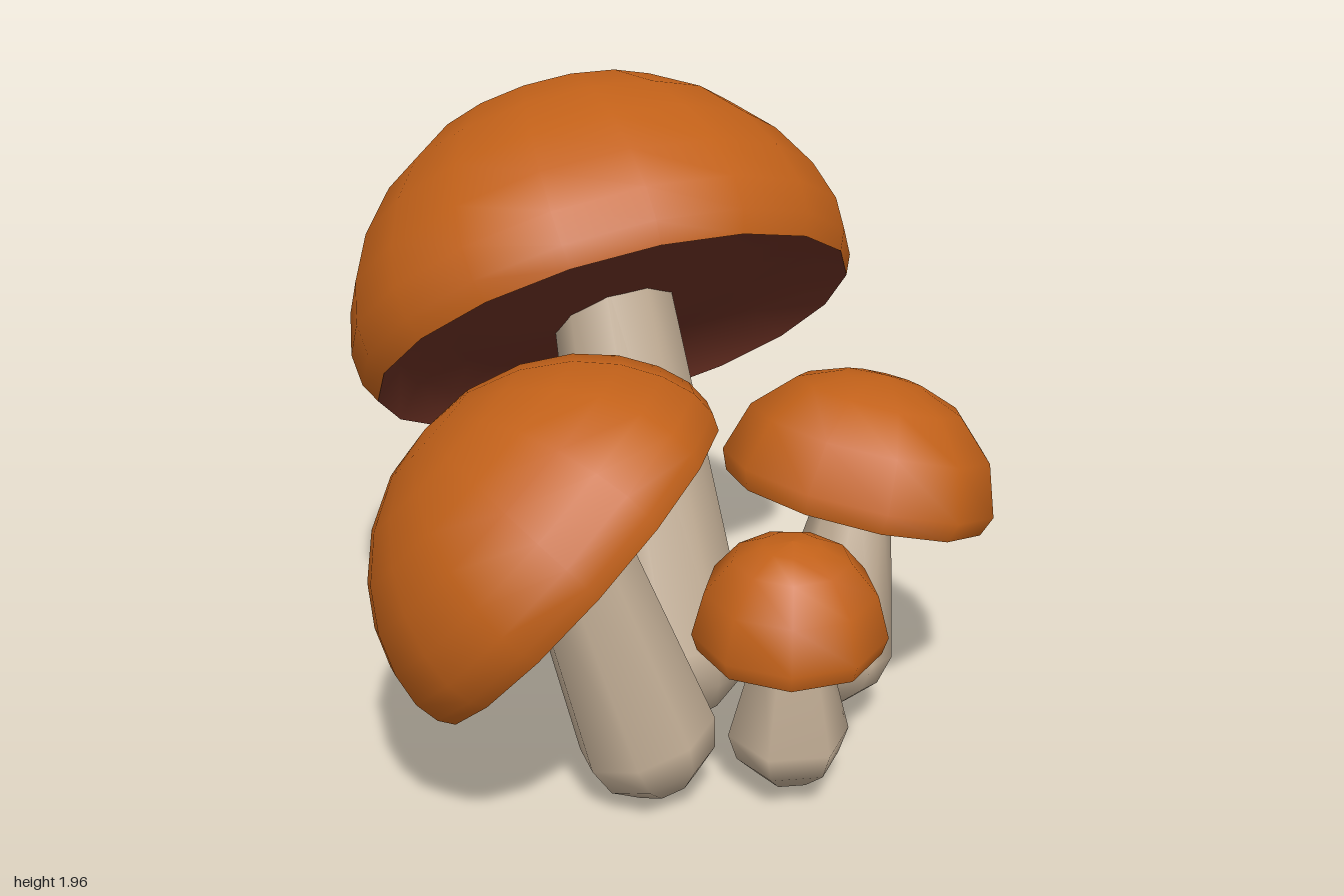
import * as THREE from 'three';

const UP = new THREE.Vector3(0, 1, 0);

// Profiles as [radius, height] pairs, scaled per mushroom
const ROUND_DOME = [[0.94, -0.05], [0.98, 0.03], [0.99, 0.16], [0.95, 0.33], [0.86, 0.52],
  [0.72, 0.7], [0.52, 0.86], [0.27, 0.97], [0, 1]];
const COARSE_DOME = [[0.94, -0.07], [1, 0.1], [0.88, 0.52], [0.6, 0.83], [0.3, 0.96], [0, 1]];
const GILLS = [[0, 0.01], [0.3, 0.03], [0.6, 0.08], [0.82, 0.07], [0.94, -0.05]];
const BULB = [[0, 0], [0.45, 0.1], [0.85, 0.45], [1, 0.9]];

function lathe(profile, sides, sr, sh) {
  return new THREE.LatheGeometry(profile.map(([r, h]) => new THREE.Vector2(r * sr, h * sh)), sides);
}

export function createModel() {
  const capMat = new THREE.MeshStandardMaterial({ color: 0xc26119 });
  capMat.name = 'orange cap';
  const gillMat = new THREE.MeshStandardMaterial({ color: 0x692f22, side: THREE.DoubleSide });
  gillMat.name = 'dark brown underside';
  const stemMat = new THREE.MeshStandardMaterial({ color: 0xbfab93 });
  stemMat.name = 'beige stem';

  const add = (parent, name, geometry, material) => {
    const mesh = new THREE.Mesh(geometry, material);
    mesh.name = name;
    parent.add(mesh);
    return mesh;
  };

  // One mushroom: tilted domed cap, hollow underside, tapered stem with a bulb
  function mushroom({ name, dome, center, axis, radius, height, depth = 1, sides, base, top, bulb, neck, stemSides }) {
    const group = new THREE.Group();
    group.name = name;

    const cap = new THREE.Group();
    cap.name = 'cap';
    cap.position.set(...center);
    cap.quaternion.setFromUnitVectors(UP, new THREE.Vector3(...axis).normalize());
    cap.scale.z = depth;
    add(cap, 'capDome', lathe(dome, sides, radius, height), capMat);
    add(cap, 'capUnderside', lathe(GILLS, sides, radius, height), gillMat);
    group.add(cap);

    const from = new THREE.Vector3(...base);
    const dir = new THREE.Vector3(...top).sub(from);
    const length = dir.length();
    const profile = [...BULB.map(([r, h]) => [r * bulb, h * bulb]), [neck, length]];
    const stem = add(group, 'stem', lathe(profile, stemSides, 1, 1), stemMat);
    stem.position.copy(from);
    stem.quaternion.setFromUnitVectors(UP, dir.normalize());
    return group;
  }

  const model = new THREE.Group();
  model.name = 'mushroomCluster';
  model.add(
    mushroom({
      name: 'largeMushroom', dome: ROUND_DOME, center: [0.185, 1.18, -0.24], axis: [0.12, 0.77, -0.64],
      radius: 0.825, height: 0.79, depth: 0.94, sides: 18, stemSides: 9,
      base: [0.12, 0.015, 0.22], top: [0.2, 1.34, -0.28], bulb: 0.25, neck: 0.185,
    }),
    mushroom({
      name: 'leftMushroom', dome: ROUND_DOME, center: [-0.415, 0.77, 0.38], axis: [-0.5, 0.65, -0.55],
      radius: 0.605, height: 0.565, sides: 15, stemSides: 8,
      base: [-0.19, 0.03, 0.53], top: [-0.42, 0.86, 0.35], bulb: 0.21, neck: 0.155,
    }),
    mushroom({
      name: 'rightMushroom', dome: COARSE_DOME, center: [0.59, 0.755, 0.46], axis: [0.27, 0.96, 0],
      radius: 0.425, height: 0.37, sides: 11, stemSides: 8,
      base: [0.43, 0.1, 0.5], top: [0.6, 0.8, 0.46], bulb: 0.2, neck: 0.1,
    }),
    mushroom({
      name: 'smallMushroom', dome: COARSE_DOME, center: [0.09, 0.52, 0.73], axis: [-0.03, 1, 0.03],
      radius: 0.285, height: 0.31, sides: 9, stemSides: 6,
      base: [0.11, 0.04, 0.72], top: [0.1, 0.56, 0.73], bulb: 0.18, neck: 0.085,
    }),
  );
  return model;
}
